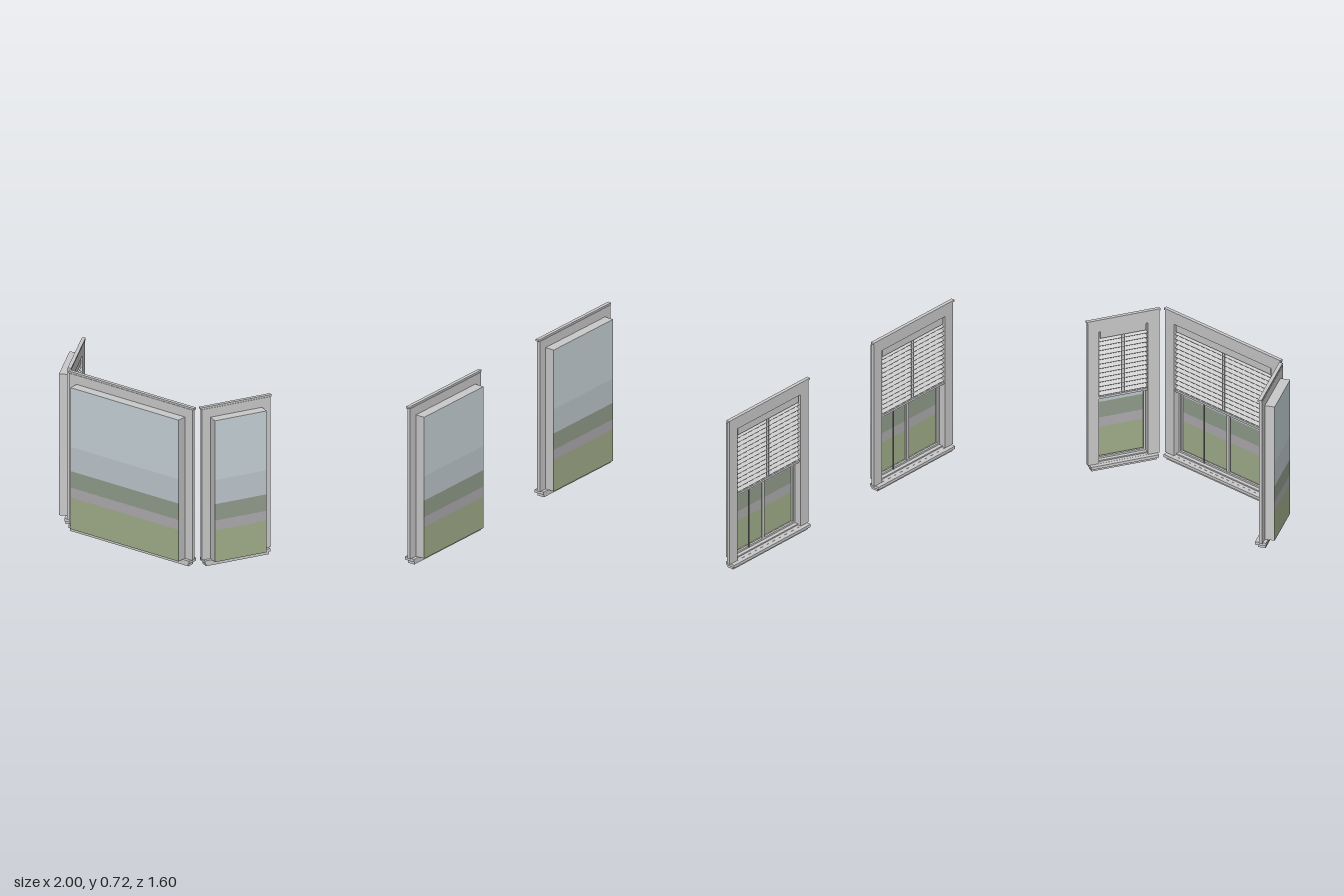
import * as THREE from 'three';

const mat = (color) => new THREE.MeshStandardMaterial({ color });
const GREY = mat(0xcccccc);
const DARK = mat(0x8a8a86);

// Bands of the outdoor scene panel: bottom, top, material
const BANDS = [
  ['grass', 0.026, 0.17, mat(0xa3b08c)],
  ['road', 0.17, 0.215, mat(0xb0aeb0)],
  ['hedge', 0.215, 0.29, mat(0x939f8e)],
  ['lowerSky', 0.29, 0.4, mat(0xc0cad0)],
  ['upperSky', 0.4, 0.67, mat(0xc9d4d9)],
];

const BOTTOM = 0.026; // top of the sill
const BOX_TOP = 0.67;
const HEAD = 0.66; // top of the opening

// Box given by its limits in each axis
function block(parent, name, x0, x1, y0, y1, z0, z1, material = GREY) {
  const m = new THREE.Mesh(new THREE.BoxGeometry(x1 - x0, y1 - y0, z1 - z0), material);
  m.position.set((x0 + x1) / 2, (y0 + y1) / 2, (z0 + z1) / 2);
  m.name = name;
  parent.add(m);
  return m;
}

// Rectangular frame: outer rectangle with a rectangular hole
function frame(parent, name, outer, inner, z0, z1, material = GREY) {
  const corners = ([w, y0, y1]) => [[-w / 2, y0], [w / 2, y0], [w / 2, y1], [-w / 2, y1]]
    .map(([x, y]) => new THREE.Vector2(x, y));
  const shape = new THREE.Shape(corners(outer));
  shape.holes.push(new THREE.Path(corners(inner).reverse()));
  const m = new THREE.Mesh(
    new THREE.ExtrudeGeometry(shape, { depth: z1 - z0, bevelEnabled: false }), material);
  m.position.z = z0;
  m.name = name;
  parent.add(m);
}

// Slatted blind covering the upper half of the opening
function makeBlind(w) {
  const blind = new THREE.Group();
  blind.name = 'blind';
  const half = w / 2 - 0.012;
  block(blind, 'headRail', -half + 0.006, half - 0.006, 0.625, 0.657, 0.0, 0.022);
  const count = 13;
  for (let i = 0; i < count; i++) {
    const y = 0.615 - i * 0.0217;
    const slat = block(blind, 'slat', -half, half, y - 0.001, y + 0.001, -0.001, 0.021);
    slat.rotation.x = -0.55;
  }
  block(blind, 'bottomRail', -half, half, 0.334, 0.344, 0.0, 0.02);
  for (const x of [-0.006, 0.006]) {
    block(blind, 'ladderCord', x - 0.001, x + 0.001, 0.34, 0.63, 0.002, 0.004, DARK);
  }
  return blind;
}

// One window: local +z points outdoors, width w is that of the boxed recess
function makeWindow(w, divided) {
  const g = new THREE.Group();
  const open = w - 0.02;

  // Interior trim
  frame(g, 'casing', [w + 0.08, BOTTOM, 0.711], [open, BOTTOM + 0.0005, HEAD], -0.005, 0.01);
  block(g, 'headCap', -w / 2 - 0.045, w / 2 + 0.045, 0.711, 0.719, -0.008, 0.008);
  block(g, 'sill', -w / 2 - 0.032, w / 2 + 0.032, 0.013, BOTTOM, -0.024, 0.024);
  block(g, 'apron', -w / 2 - 0.026, w / 2 + 0.026, 0, 0.013, -0.013, 0.021);

  // Boxed recess and the scene closing it
  frame(g, 'recess', [w, BOTTOM, BOX_TOP], [open, BOTTOM + 0.006, HEAD], 0.01, 0.05);
  for (const [name, y0, y1, m] of BANDS) block(g, name, -w / 2, w / 2, y0, y1, 0.05, 0.053, m);

  // Sash, with a centre mullion and blind wand on the wide windows
  frame(g, 'sash', [open, BOTTOM + 0.006, HEAD], [open - 0.016, BOTTOM + 0.014, HEAD - 0.01], 0.027, 0.037);
  if (divided) {
    block(g, 'mullion', -0.007, 0.007, BOTTOM + 0.01, HEAD - 0.005, 0.028, 0.036);
    block(g, 'blindWand', 0.228 * w - 0.002, 0.228 * w + 0.002, 0.035, 0.63, 0.022, 0.026, DARK);
  }
  g.add(makeBlind(w));
  return g;
}

export function createModel() {
  const model = new THREE.Group();
  const tilt = 0.467; // angle of the bay's side windows
  const layout = [
    // name, recess width, x, z, heading, divided
    ['frontWindowRight', 0.41, -0.148, 0.747, 0, true],
    ['frontWindowLeft', 0.41, 0.747, 0.747, 0, true],
    ['bayCentreWindow', 0.57, -0.947, -0.284, -Math.PI / 2, true],
    ['bayFrontWindow', 0.24, -0.782, 0.133, -tilt, false],
    ['bayBackWindow', 0.24, -0.782, -0.702, tilt - Math.PI, false],
  ];
  for (const [name, w, x, z, heading, divided] of layout) {
    const win = makeWindow(w, divided);
    win.name = name;
    win.position.set(x, 0, z);
    win.rotation.y = heading;
    model.add(win);
  }
  return model;
}
